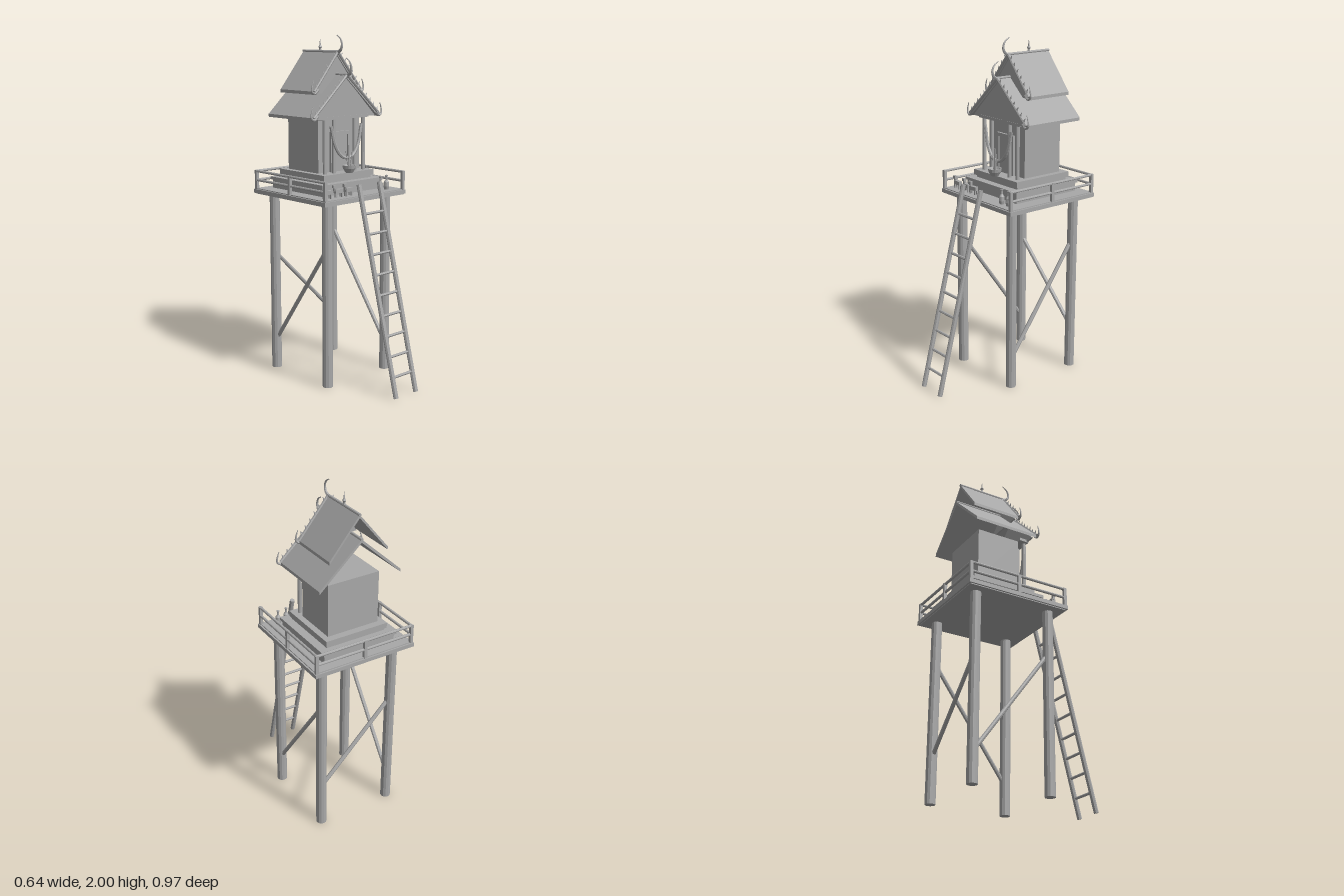
import * as THREE from 'three';

export function createModel() {
  const root = new THREE.Group();
  root.name = 'stiltShrine';
  const stone = new THREE.MeshStandardMaterial({ color: 0xa8a8a8, flatShading: true });
  stone.name = 'plain grey';
  const V = (x, y, z) => new THREE.Vector3(x, y, z);

  const add = (name, geo, x = 0, y = 0, z = 0, parent = root) => {
    const m = new THREE.Mesh(geo, stone);
    m.name = name;
    m.position.set(x, y, z);
    parent.add(m);
    return m;
  };
  // box from its lower and upper limits
  const box = (name, x0, x1, y0, y1, z0, z1, parent) =>
    add(name, new THREE.BoxGeometry(x1 - x0, y1 - y0, z1 - z0),
      (x0 + x1) / 2, (y0 + y1) / 2, (z0 + z1) / 2, parent);
  // round bar between two points
  const bar = (name, a, b, r, sides = 8, parent = root) => {
    const d = b.clone().sub(a);
    const m = add(name, new THREE.CylinderGeometry(r, r, d.length(), sides), 0, 0, 0, parent);
    m.position.copy(a).add(b).multiplyScalar(0.5);
    m.quaternion.setFromUnitVectors(V(0, 1, 0), d.normalize());
    return m;
  };
  // curved horn, thinning to a point
  const horn = (name, pts, r) => {
    const curve = new THREE.CatmullRomCurve3(pts), n = 14, sides = 6;
    const geo = new THREE.TubeGeometry(curve, n, r, sides, false);
    const pos = geo.attributes.position, p = new THREE.Vector3();
    for (let i = 0; i < pos.count; i++) {
      const t = Math.floor(i / (sides + 1)) / n;
      const c = curve.getPointAt(t);
      p.fromBufferAttribute(pos, i).sub(c).multiplyScalar(1 - 0.8 * t).add(c);
      pos.setXYZ(i, p.x, p.y, p.z);
    }
    return add(name, geo);
  };
  // flat outline in x and y, given depth along z
  const plate = (name, pts, z0, z1) =>
    add(name, new THREE.ExtrudeGeometry(new THREE.Shape(pts.map(([x, y]) => new THREE.Vector2(x, y))),
      { depth: z1 - z0, bevelEnabled: false }), 0, 0, z0);

  // stilts and braces
  for (const s of [-1, 1]) {
    for (const z of [0.067, -0.4])
      bar('stilt', V(s * 0.23, 0, z), V(s * 0.23, 1.08, z), 0.03, 12);
    bar('sideBrace', V(s * 0.23, s > 0 ? 0.19 : 0.8, 0.055), V(s * 0.23, s > 0 ? 0.8 : 0.19, -0.388), 0.012);
  }
  bar('backBrace', V(-0.22, 0.71, -0.4), V(0.22, 0.27, -0.4), 0.012);

  // platform and stepped base
  box('platform', -0.318, 0.318, 1.08, 1.103, -0.485, 0.15);
  box('platformRim', -0.308, 0.308, 1.075, 1.108, -0.475, 0.14);
  box('lowerStep', -0.225, 0.225, 1.105, 1.165, -0.42, 0.028);
  box('lowerStepLip', -0.235, 0.235, 1.158, 1.175, -0.43, 0.038);
  box('upperStep', -0.185, 0.185, 1.17, 1.195, -0.38, -0.01);
  box('upperStepLip', -0.195, 0.195, 1.19, 1.222, -0.392, 0.002);

  // railing, open at the front
  for (const s of [-1, 1])
    for (const z of [0.137, -0.167, -0.472])
      box('railPost', s * 0.304 - 0.009, s * 0.304 + 0.009, 1.1, 1.215, z - 0.009, z + 0.009);
  box('railPost', -0.009, 0.009, 1.1, 1.215, -0.481, -0.463);
  for (const y of [1.157, 1.21]) {
    for (const s of [-1, 1]) bar('sideRail', V(s * 0.304, y, 0.145), V(s * 0.304, y, -0.48), 0.008);
    bar('backRail', V(-0.31, y, -0.472), V(0.31, y, -0.472), 0.008);
  }

  // ladder
  const ladderZ = (y) => 0.472 - 0.258 * y;
  for (const s of [-1, 1])
    bar('ladderRail', V(s * 0.08, 0.004, ladderZ(0)), V(s * 0.08, 1.18, ladderZ(1.18)), 0.014);
  for (let i = 0; i < 9; i++) {
    const y = 0.117 + i * 0.1125;
    bar('ladderRung', V(-0.08, y, ladderZ(y)), V(0.08, y, ladderZ(y)), 0.008, 6);
  }

  // house body, door and porch
  box('houseBody', -0.16, 0.16, 1.22, 1.53, -0.35, -0.085);
  box('doorPanel', -0.06, 0.06, 1.222, 1.44, -0.086, -0.079);
  for (const s of [-1, 1]) box('doorJamb', s * 0.066 - 0.008, s * 0.066 + 0.008, 1.222, 1.45, -0.086, -0.07);
  box('doorLintel', -0.074, 0.074, 1.435, 1.455, -0.086, -0.07);
  for (const x of [-0.15, -0.08, 0.08, 0.15])
    bar('porchColumn', V(x, 1.22, -0.04), V(x, 1.535, -0.04), 0.012, 10);
  box('porchBeam', -0.18, 0.18, 1.53, 1.547, -0.086, -0.026);

  // one roof tier: slabs, gable, ridge, toothed bargeboards and horns
  const roof = (top, eave, w, z0, z1, teeth) => {
    const t = 0.018;
    plate('roofSlab', [[0, top], [-w, eave + t], [-w, eave], [0, top - t], [w, eave], [w, eave + t]], z0, z1);
    plate('gable', [[-w * 0.93, eave + 0.005], [w * 0.93, eave + 0.005], [0, top - 0.012]], z1 - 0.018, z1 - 0.008);
    bar('ridgePole', V(0, top, z0 - 0.003), V(0, top, z1 + 0.008), 0.008);
    for (const s of [-1, 1]) {
      const a = V(0, top, z1 + 0.006), b = V(s * w, eave + t, z1 + 0.006);
      bar('bargeboard', a, b, 0.008, 6);
      const slope = Math.atan2(w, top - eave - t);
      for (let i = 0; i < teeth; i++) {
        const tooth = add('bargeTooth', new THREE.ConeGeometry(0.011, 0.028, 4));
        tooth.position.lerpVectors(a, b, (i + 0.8) / (teeth + 0.5));
        tooth.position.add(V(s * 0.006, 0.012, 0));
        tooth.scale.z = 0.55;
        tooth.rotation.z = -s * (Math.PI / 2 - slope) * 0.6;
      }
      horn('eaveHorn', [V(s * (w - 0.025), eave + 0.028, z1 + 0.008), V(s * (w - 0.002), eave + 0.006, z1 + 0.008),
        V(s * (w + 0.018), eave + 0.02, z1 + 0.008), V(s * (w + 0.016), eave + 0.05, z1 + 0.008),
        V(s * (w + 0.006), eave + 0.08, z1 + 0.008)], 0.01);
    }
    horn('ridgeHorn', [V(0, top - 0.01, z1 - 0.005), V(0, top + 0.012, z1 + 0.03), V(0, top + 0.04, z1 + 0.04),
      V(0, top + 0.072, z1 + 0.028), V(0, top + 0.093, z1 - 0.002)], 0.011);
  };
  roof(1.78, 1.53, 0.253, -0.415, -0.02, 8);
  roof(1.907, 1.67, 0.18, -0.392, -0.098, 6);

  // ridge spire
  add('ridgeSpire', new THREE.LatheGeometry([[0.008, 0], [0.006, 0.015], [0.011, 0.024], [0.005, 0.034], [0, 0.075]]
    .map(([r, y]) => new THREE.Vector2(r, y)), 8), 0, 1.908, -0.245);

  // garland hung across the porch
  const garland = new THREE.CatmullRomCurve3([V(-0.118, 1.495, -0.022), V(-0.088, 1.38, -0.018),
    V(-0.045, 1.32, -0.015), V(0, 1.305, -0.015), V(0.045, 1.32, -0.015), V(0.088, 1.38, -0.018), V(0.118, 1.495, -0.022)]);
  add('garland', new THREE.TubeGeometry(garland, 24, 0.01, 6, false));

  // incense bowl and sticks
  add('incenseBowl', new THREE.LatheGeometry([[0, 0], [0.022, 0], [0.037, 0.025], [0.04, 0.043], [0.034, 0.043], [0.028, 0.03], [0, 0.03]]
    .map(([r, y]) => new THREE.Vector2(r, y)), 14), 0, 1.222, 0.003);
  for (const i of [-1, 0, 1])
    bar('incenseStick', V(i * 0.008, 1.245, 0.003), V(i * 0.022, i ? 1.35 : 1.382, 0.003 + i * 0.004), 0.0035, 6);

  // offering bottles
  for (const [x, z] of [[0.168, 0.088], [0.222, 0.084]])
    add('offeringBottle', new THREE.LatheGeometry([[0, 0], [0.013, 0], [0.017, 0.02], [0.015, 0.045], [0.006, 0.058], [0.006, 0.075], [0.009, 0.085], [0, 0.088]]
      .map(([r, y]) => new THREE.Vector2(r, y)), 8), x, 1.107, z);

  // small animal figures
  for (const [x, z, turn] of [[-0.245, 0.086, -0.08], [-0.16, 0.084, -0.1], [-0.09, 0.089, 0.08]]) {
    const animal = new THREE.Group();
    animal.name = 'animalFigure';
    animal.position.set(x, 1.107, z);
    animal.rotation.y = turn;
    root.add(animal);
    box('animalBody', -0.025, 0.028, 0.025, 0.047, -0.011, 0.011, animal);
    box('animalNeck', -0.03, -0.016, 0.038, 0.064, -0.007, 0.007, animal);
    box('animalHead', -0.038, -0.016, 0.056, 0.072, -0.008, 0.008, animal);
    for (const lx of [-0.019, 0.021])
      for (const lz of [-0.007, 0.007])
        box('animalLeg', lx - 0.004, lx + 0.004, 0, 0.027, lz - 0.004, lz + 0.004, animal);
  }
  return root;
}
